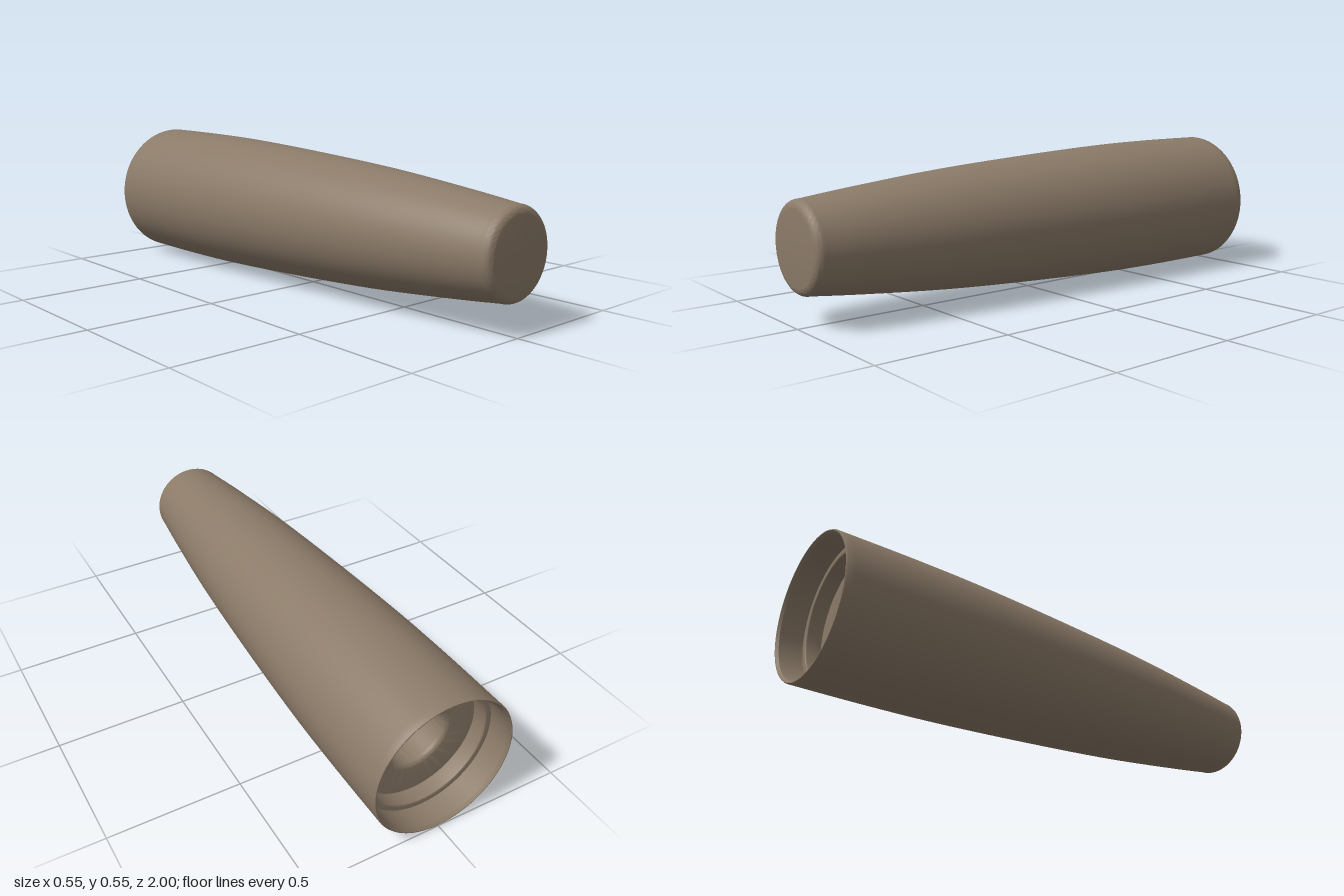
import * as THREE from 'three';
import { toCreasedNormals } from 'three/addons/utils/BufferGeometryUtils.js';

const RADIUS = 0.274;

// Points on a rounded corner of the profile, from angle a0 to a1 (degrees)
function fillet(r, z, size, a0, a1, steps = 6) {
  return Array.from({ length: steps + 1 }, (_, i) => {
    const a = THREE.MathUtils.degToRad(a0 + ((a1 - a0) * i) / steps);
    return new THREE.Vector2(r + size * Math.cos(a), z + size * Math.sin(a));
  });
}

const points = (list) => list.map(([r, z]) => new THREE.Vector2(r, z));

// Revolve a profile of (radius, z) points about the z axis
function revolve(name, profile, material) {
  const geometry = new THREE.LatheGeometry(profile, 96);
  geometry.rotateX(Math.PI / 2);
  const mesh = new THREE.Mesh(toCreasedNormals(geometry, 0.5), material);
  mesh.name = name;
  return mesh;
}

export function createModel() {
  const group = new THREE.Group();
  group.name = 'taperedHandle';
  const material = new THREE.MeshStandardMaterial({ color: 0x8b7a68 });

  // Tapered outer shell: straight at the back, curving in to a rounded tip
  const taper = new THREE.SplineCurve(points([
    [0.274, -0.994], [0.274, -0.7], [0.268, -0.4], [0.249, 0],
    [0.223, 0.4], [0.189, 0.75], [0.164, 0.965],
  ])).getPoints(40);
  const shell = [
    ...points([[0.268, -1], [0.271, -1]]),
    ...taper,
    ...fillet(0.134, 0.97, 0.03, 8, 90),
    new THREE.Vector2(0, 1),
  ];
  group.add(revolve('outerShell', shell, material));

  // Hollow back end: deep bore, rounded mouth, floor, stepped ledge and thin rim
  const socket = [
    ...points([[0, 0.2], [0.115, 0.2]]),
    ...fillet(0.135, -0.82, 0.02, 180, 270),
    ...points([[0.238, -0.84], [0.238, -0.895]]),
    ...fillet(0.243, -0.895, 0.005, 180, 270, 4),
    ...points([[0.261, -0.9], [0.261, -0.99], [0.268, -1]]),
  ];
  group.add(revolve('backSocket', socket, material));

  group.position.y = RADIUS;
  return group;
}
